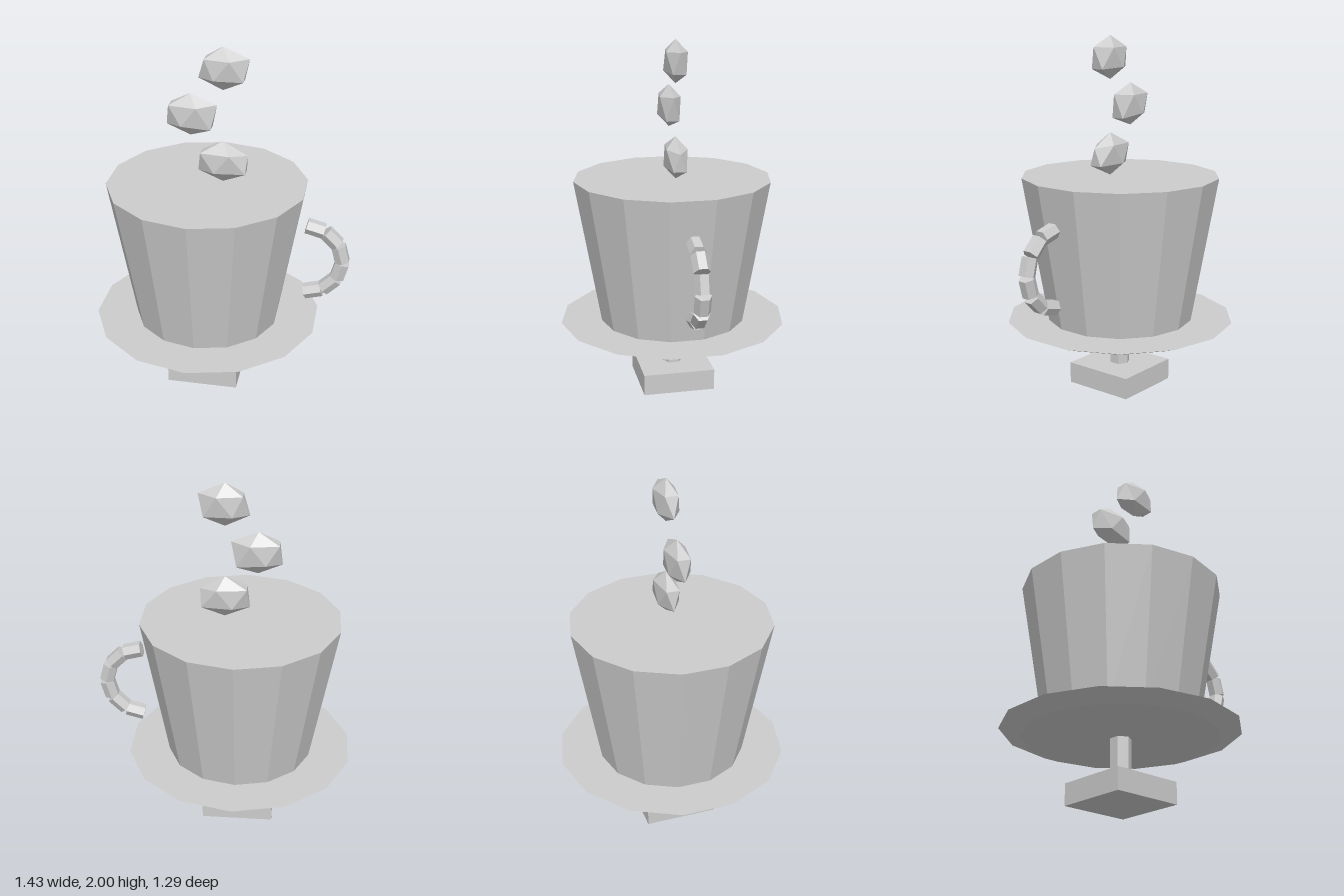
import * as THREE from 'three';
import { ConvexGeometry } from 'three/addons/geometries/ConvexGeometry.js';

export function createModel() {
  const model = new THREE.Group();
  const clay = new THREE.MeshStandardMaterial({ color: 0xcccccc, flatShading: true });
  clay.name = 'light grey';
  const axisX = -0.088;

  function add(name, geometry, x, y, z = 0, parent = model) {
    const mesh = new THREE.Mesh(geometry, clay);
    mesh.name = name;
    mesh.position.set(x, y, z);
    parent.add(mesh);
    return mesh;
  }

  // Tapered prism standing on y0, centred on the cup axis
  function prism(name, topR, bottomR, y0, y1, sides) {
    const geometry = new THREE.CylinderGeometry(topR, bottomR, y1 - y0, sides);
    return add(name, geometry, axisX, (y0 + y1) / 2);
  }

  // Stand, saucer and cup
  add('base', new THREE.BoxGeometry(0.405, 0.12, 0.41), axisX, 0.06);
  prism('stem', 0.058, 0.058, 0.12, 0.36, 6);
  prism('saucer', 0.645, 0.53, 0.355, 0.4, 14);
  prism('cup', 0.557, 0.413, 0.4, 1.225, 14);

  // Handle: six short hexagonal links along a half circle
  const handle = new THREE.Group();
  handle.name = 'handle';
  model.add(handle);
  for (let i = 0; i < 6; i++) {
    const a = THREE.MathUtils.degToRad(75 - i * 30);
    const link = add('handleLink', new THREE.CylinderGeometry(0.045, 0.045, 0.1, 6),
      0.466 + 0.205 * Math.cos(a), 0.796 + 0.205 * Math.sin(a), 0, handle);
    link.rotation.z = a;
  }

  // Steam puffs: flattened, slightly uneven icosahedra.
  // Corners are [x, y] of upper right, upper left, lower right, lower left.
  const puffs = [
    { x: 0, y: 1.356, c: [[0.135, 0.042], [-0.12, 0.052], [0.127, -0.056], [-0.137, -0.06]] },
    { x: -0.178, y: 1.617, c: [[0.146, 0.06], [-0.112, 0.054], [0.115, -0.073], [-0.13, -0.062]] },
    { x: 0, y: 1.882, c: [[0.141, 0.058], [-0.095, 0.054], [0.112, -0.06], [-0.132, -0.056]] },
  ];
  puffs.forEach(({ x, y, c: [ur, ul, lr, ll] }) => {
    const points = [[0, 0.118, 0], [0, -0.118, 0], [...ur, 0], [...ll, 0]];
    for (const s of [-1, 1]) {
      points.push([0.042, 0.053, s * 0.059], [...ul, s * 0.036]);
      points.push([-0.042, -0.053, s * 0.059], [...lr, s * 0.036]);
    }
    add('steamPuff', new ConvexGeometry(points.map((p) => new THREE.Vector3(...p))), x, y);
  });

  return model;
}
